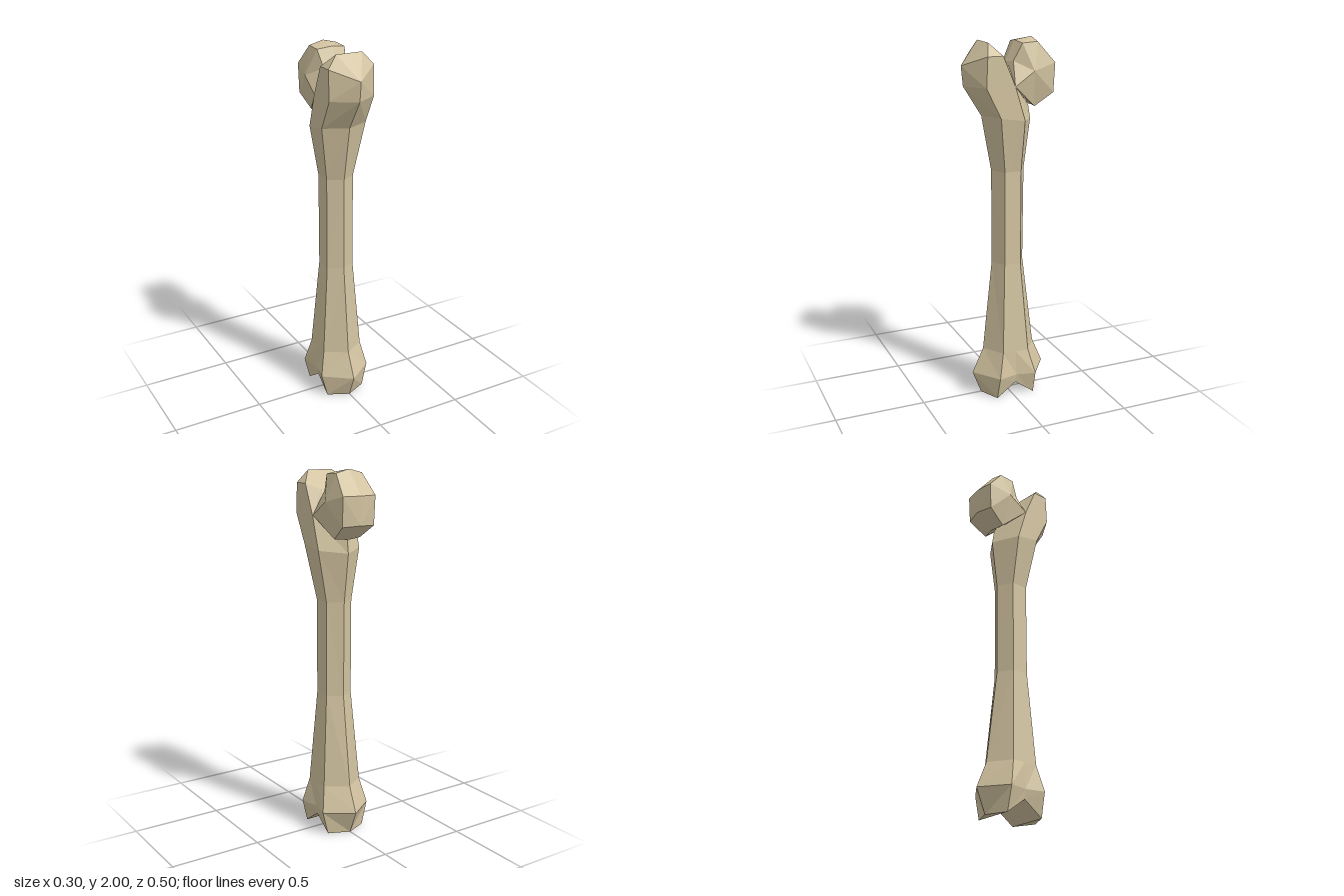
import * as THREE from 'three';

// Faces are listed for the +x half only; every triangle is mirrored across x = 0.
class HalfMesh {
  constructor() { this.pos = []; }
  tri(a, b, c) {
    for (const p of [a, b, c]) this.pos.push(...p);
    for (const p of [a, c, b]) this.pos.push(-p[0], p[1], p[2]);
  }
  quad(a, b, c, d) {
    this.tri(a, b, d);
    this.tri(b, c, d);
  }
  mesh(name, material) {
    const geometry = new THREE.BufferGeometry();
    geometry.setAttribute('position', new THREE.Float32BufferAttribute(this.pos, 3));
    geometry.computeVertexNormals();
    const mesh = new THREE.Mesh(geometry, material);
    mesh.name = name;
    return mesh;
  }
}

// Half ring of a hexagonal section: front ridge, two side edges, back ridge
const section = (y, w, front, s1, s2, back, midW = w) => [
  [0, y, front], [w, y, s1], [midW, y, (s1 + s2) / 2], [w, y, s2], [0, y, back],
];

function buildShaft(material) {
  const m = new HalfMesh();
  const rings = [
    // underside of the knee end, notched in the middle
    [[0, 0, 0.155], [0.115, 0, 0.1], [0.115, 0.08, -0.01], [0.115, 0, -0.12], [0, 0, -0.17]],
    section(0.13, 0.148, 0.205, 0.095, -0.12, -0.225, 0.125),
    section(0.27, 0.118, 0.14, 0.065, -0.085, -0.165),
    section(0.78, 0.08, 0.085, 0.04, -0.053, -0.1),
    section(1.3, 0.08, 0.085, 0.038, -0.055, -0.105),
    // flare below the neck
    [[0, 1.6, 0.14], [0.13, 1.6, 0.08], [0.13, 1.59, 0.012], [0.13, 1.58, -0.055], [0, 1.565, -0.142]],
    [[0, 1.76, 0.24], [0.13, 1.76, 0.16], [0.13, 1.76, 0.08], [0.13, 1.76, 0], [0, 1.64, -0.13]],
    // shoulder of the upper knob
    [[0, 1.865, 0.25], [0.13, 1.92, 0.153], [0.13, 1.92, 0.068], [0.06, 1.885, 0.025], [0, 1.885, 0.025]],
  ];
  for (let r = 0; r < rings.length - 1; r++) {
    const lo = rings[r], hi = rings[r + 1];
    for (let i = 0; i < 4; i++) m.quad(lo[i], lo[i + 1], hi[i + 1], hi[i]);
  }

  // two condyles and the groove between them
  const [f, l1, lm, l2, b] = rings[0];
  const [c1, cm, c2] = [l1, lm, l2].map(([, y, z]) => [0, y, z]);
  m.tri(f, c1, l1);
  m.quad(l1, c1, cm, lm);
  m.quad(lm, cm, c2, l2);
  m.tri(l2, c2, b);

  // crown of the upper knob
  const [F, s1, s2, n, nc] = rings[rings.length - 1];
  const t = [0.075, 1.985, 0.13], tc = [0, 1.985, 0.13];
  m.tri(F, s1, t);
  m.tri(F, t, tc);
  m.tri(s1, s2, t);
  m.tri(s2, n, t);
  m.quad(tc, t, n, nc);
  return m.mesh('shaft', material);
}

function buildHead(material) {
  const m = new HalfMesh();
  // loop around the ball: centre ridge and matching side edge
  const ridge = [
    [0, 1.875, 0.005], [0, 1.985, -0.048], [0, 2, -0.145], [0, 1.87, -0.252],
    [0, 1.72, -0.252], [0, 1.64, -0.15], [0, 1.76, 0],
  ];
  const side = [
    [0.065, 1.885, -0.015], [0.08, 1.975, -0.06], [0.08, 1.98, -0.145], [0.1, 1.87, -0.238],
    [0.098, 1.715, -0.23], [0.08, 1.645, -0.13], [0.128, 1.76, 0],
  ];
  const bulge = [0.125, 1.835, -0.11];
  for (let i = 0; i < ridge.length; i++) {
    const j = (i + 1) % ridge.length;
    m.quad(ridge[i], side[i], side[j], ridge[j]);
    m.tri(side[i], bulge, side[j]);
  }
  return m.mesh('ballHead', material);
}

export function createModel() {
  const material = new THREE.MeshStandardMaterial({ color: 0xd2c3a0, flatShading: true });
  const group = new THREE.Group();
  group.name = 'thighBone';
  group.add(buildShaft(material), buildHead(material));
  return group;
}
